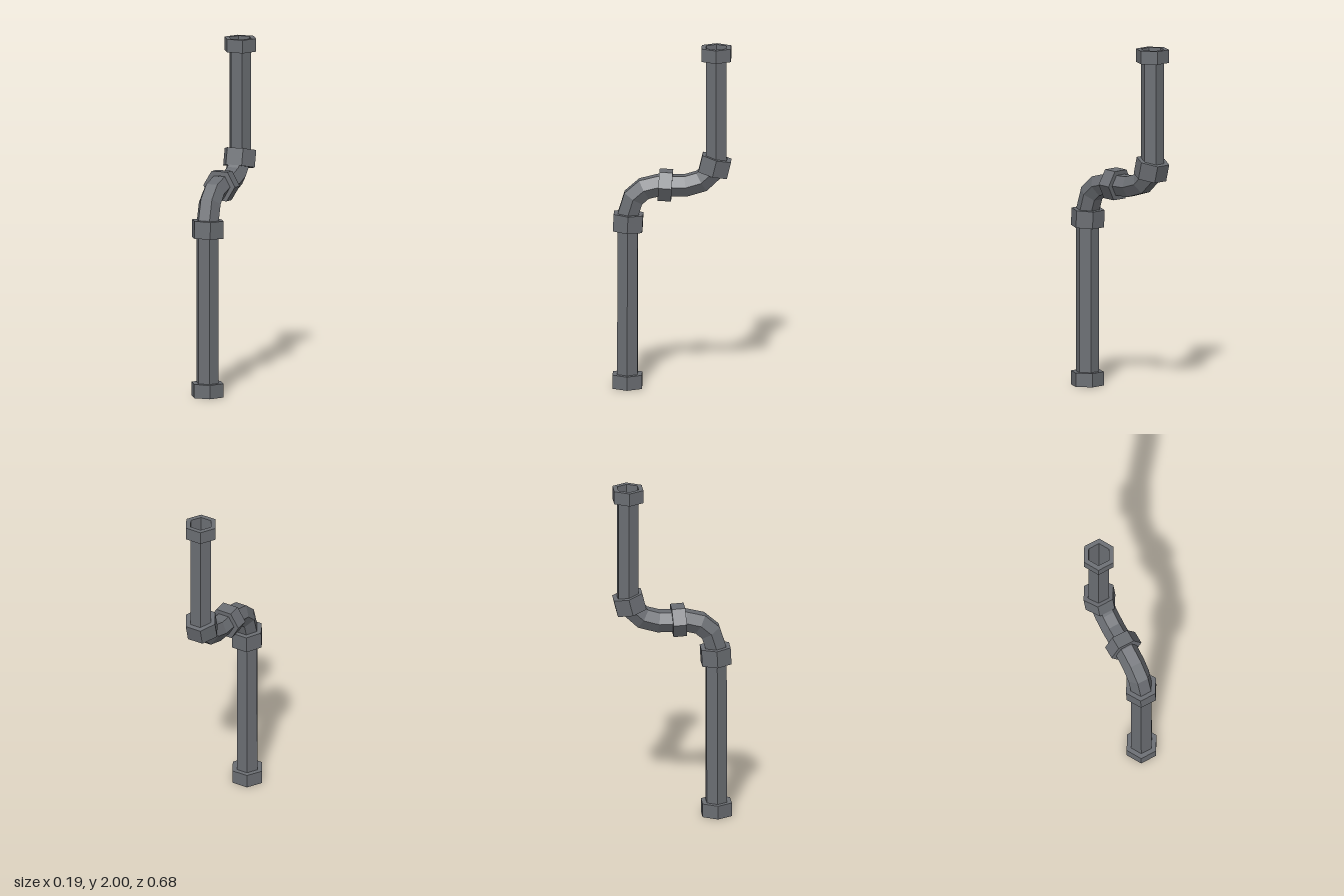
import * as THREE from 'three';

const SIDES = 6;
const PIPE_R = 0.067;
const COLLAR_R = 0.097;

// Centre line of the pipe as [z, y], from the floor up
const PATH = [
  [0.254, 0.0], [0.252, 0.97], [0.249, 1.02], [0.22, 1.113], [0.159, 1.166], [0.072, 1.188],
  [0.037, 1.188], [0.0, 1.187], [-0.08, 1.187], [-0.17, 1.214], [-0.236, 1.277],
  [-0.254, 1.34], [-0.254, 2.0],
].map(([z, y]) => new THREE.Vector3(0, y, z));

// Mitred hexagonal ring at point i of the centre line
function ring(i) {
  const p = PATH[i];
  const before = p.clone().sub(PATH[Math.max(i - 1, 0)]).normalize();
  const after = PATH[Math.min(i + 1, PATH.length - 1)].clone().sub(p).normalize();
  const t = before.clone().add(after).normalize();
  const stretch = 1 / t.dot(after.lengthSq() > 0 ? after : before);
  const points = [];
  for (let j = 0; j < SIDES; j++) {
    const a = (j / SIDES) * Math.PI * 2;
    const n = Math.sin(a) * PIPE_R * stretch;
    points.push(Math.cos(a) * PIPE_R, p.y - t.z * n, p.z + t.y * n);
  }
  return points;
}

// Open pipe wall between two points of the centre line
function pipeGeometry(from, to) {
  const positions = [];
  const index = [];
  for (let i = from; i <= to; i++) positions.push(...ring(i));
  for (let i = 0; i < to - from; i++) {
    for (let j = 0; j < SIDES; j++) {
      const k = (j + 1) % SIDES;
      const a = i * SIDES + j, b = a + SIDES;
      const c = i * SIDES + k, d = c + SIDES;
      index.push(a, b, c, b, d, c);
    }
  }
  const indexed = new THREE.BufferGeometry();
  indexed.setAttribute('position', new THREE.Float32BufferAttribute(positions, 3));
  indexed.setIndex(index);
  const geometry = indexed.toNonIndexed();
  geometry.computeVertexNormals();
  return geometry;
}

// Hexagonal collar, open in the middle where the pipe passes through
function collarGeometry(length) {
  const h = length / 2;
  const profile = [[PIPE_R, -h], [COLLAR_R, -h], [COLLAR_R, h], [PIPE_R, h]]
    .map(([r, y]) => new THREE.Vector2(r, y));
  return new THREE.LatheGeometry(profile, SIDES, Math.PI / 6);
}

export function createModel() {
  const group = new THREE.Group();
  const material = new THREE.MeshStandardMaterial({
    color: 0x6b6e73, flatShading: true, side: THREE.DoubleSide,
  });

  // Pipe sections; they meet inside the collars
  const pipes = [
    ['lowerPipe', 0, 1], ['lowerBend', 1, 6], ['upperBend', 6, 11], ['upperPipe', 11, 12],
  ];
  for (const [name, from, to] of pipes) {
    const pipe = new THREE.Mesh(pipeGeometry(from, to), material);
    pipe.name = name;
    group.add(pipe);
  }

  // Collars: name, centre z, centre y, length, tilt
  const collars = [
    ['bottomCollar', 0.254, 0.04, 0.08, 0],
    ['lowerBendCollar', 0.25, 0.97, 0.1, -0.05],
    ['middleCollar', 0.037, 1.188, 0.077, -Math.PI / 2 - 0.06],
    ['upperBendCollar', -0.246, 1.305, 0.1, -0.24],
    ['topCollar', -0.254, 1.962, 0.076, 0],
  ];
  for (const [name, z, y, length, tilt] of collars) {
    const collar = new THREE.Mesh(collarGeometry(length), material);
    collar.name = name;
    collar.position.set(0, y, z);
    collar.rotation.x = tilt;
    group.add(collar);
  }
  return group;
}
